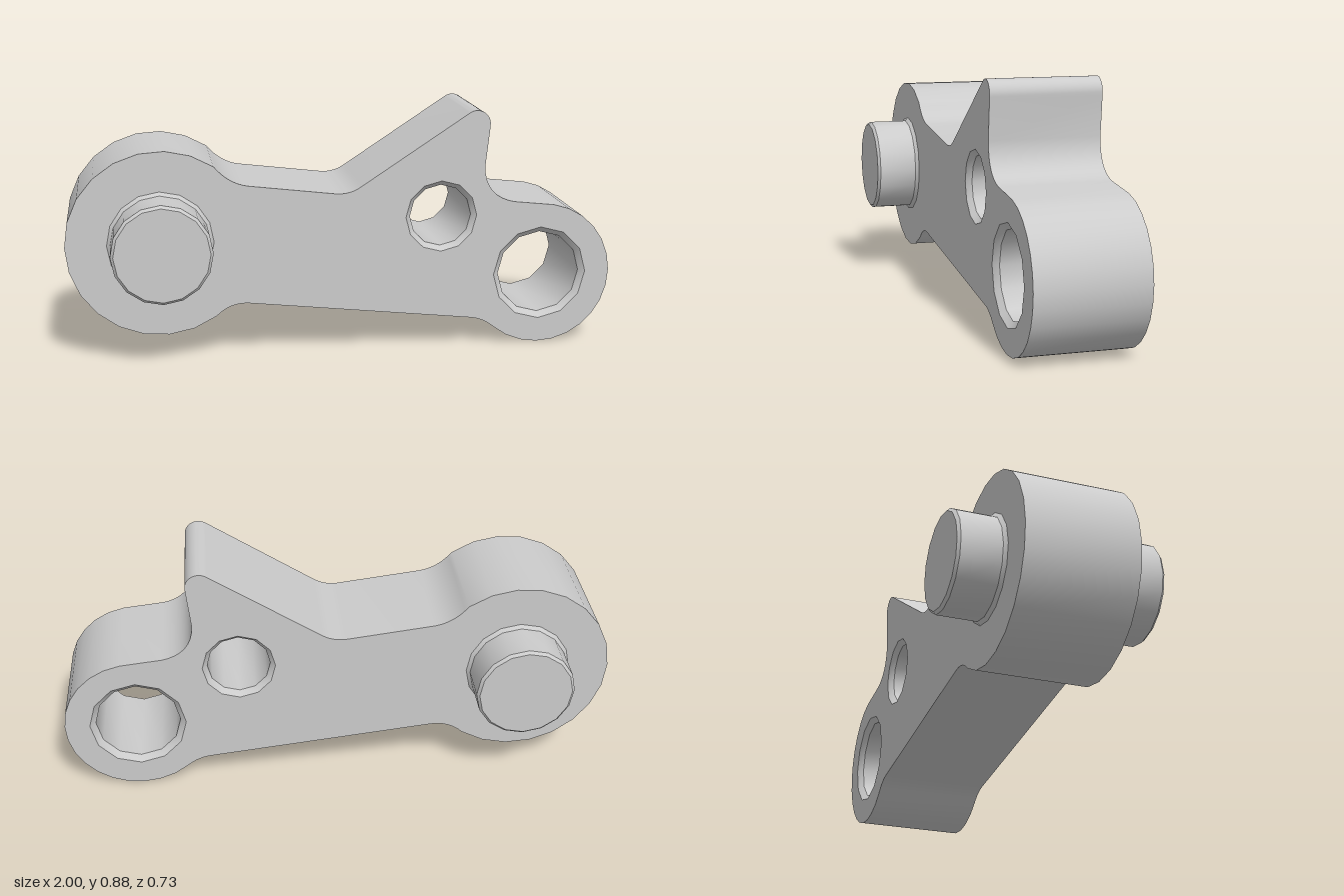
import * as THREE from 'three';
import { toCreasedNormals } from 'three/addons/utils/BufferGeometryUtils.js';

const HALF = 0.2; // half thickness of the arm
const BIG = { x: -0.665, y: 0.433, r: 0.337 };
const SMALL = { x: 0.735, y: 0.265, r: 0.265 };
const HOLES = [
  { name: 'middleHoleLining', x: 0.355, y: 0.498, outer: 0.132, inner: 0.114 },
  { name: 'endHoleLining', x: 0.733, y: 0.267, outer: 0.176, inner: 0.155 },
];
const HOLE_SIDES = 12;
const rad = THREE.MathUtils.degToRad;
const onCircle = (c, deg) => [c.x + c.r * Math.cos(rad(deg)), c.y + c.r * Math.sin(rad(deg))];

export function createModel() {
  const group = new THREE.Group();
  const material = new THREE.MeshStandardMaterial({ color: 0xcccccc });

  const add = (name, geometry, x = 0, y = 0) => {
    const mesh = new THREE.Mesh(toCreasedNormals(geometry, 0.6), material);
    mesh.name = name;
    mesh.position.set(x, y, 0);
    group.add(mesh);
  };

  // Turned part whose axis runs along z; profile is [radius, z]
  const turned = (profile, sides) =>
    new THREE.LatheGeometry(profile.map(([r, z]) => new THREE.Vector2(r, z)), sides).rotateX(Math.PI / 2);

  // Arm outline, counter-clockwise from underneath the small end
  const s = new THREE.Shape();
  s.moveTo(...onCircle(SMALL, -131));
  s.absarc(SMALL.x, SMALL.y, SMALL.r, rad(-131), rad(80), false);
  s.lineTo(0.63, 0.543);
  s.bezierCurveTo(0.56, 0.555, 0.515, 0.6, 0.515, 0.68);
  s.lineTo(0.53, 0.82);
  s.absarc(0.481, 0.835, 0.05, rad(-8), rad(123), false);
  s.lineTo(0.06, 0.62);
  s.quadraticCurveTo(0.02, 0.592, -0.03, 0.595);
  s.lineTo(-0.35, 0.635);
  s.quadraticCurveTo(-0.42, 0.645, ...onCircle(BIG, 55));
  s.absarc(BIG.x, BIG.y, BIG.r, rad(55), rad(305), false);
  s.quadraticCurveTo(-0.42, 0.208, -0.35, 0.2);
  s.lineTo(0.47, 0.105);
  s.quadraticCurveTo(0.52, 0.1, ...onCircle(SMALL, -131));

  // Openings in the arm
  for (const h of HOLES) {
    const points = [];
    for (let i = 0; i < HOLE_SIDES; i++) {
      points.push(new THREE.Vector2(...onCircle({ x: h.x, y: h.y, r: h.outer }, (-360 * i) / HOLE_SIDES)));
    }
    s.holes.push(new THREE.Path(points));
  }
  const arm = new THREE.ExtrudeGeometry(s, { depth: 2 * HALF, bevelEnabled: false, curveSegments: 8 });
  arm.translate(0, 0, -HALF);
  add('arm', arm);

  // Chamfered bores, facing inwards
  for (const h of HOLES) {
    const c = HALF - 0.02;
    add(h.name, turned([[h.outer, HALF], [h.inner, c], [h.inner, -c], [h.outer, -HALF]], HOLE_SIDES), h.x, h.y);
  }

  // Pivot pin through the big end, with small root flares and chamfered tips
  const half = [[0.19, 0.2], [0.178, 0.212], [0.178, 0.355], [0.168, 0.365], [0, 0.365]];
  const mirrored = half.map(([r, z]) => [r, -z]).reverse();
  add('pivotPin', turned([...mirrored, ...half], 16), BIG.x, 0.435);

  return group;
}
